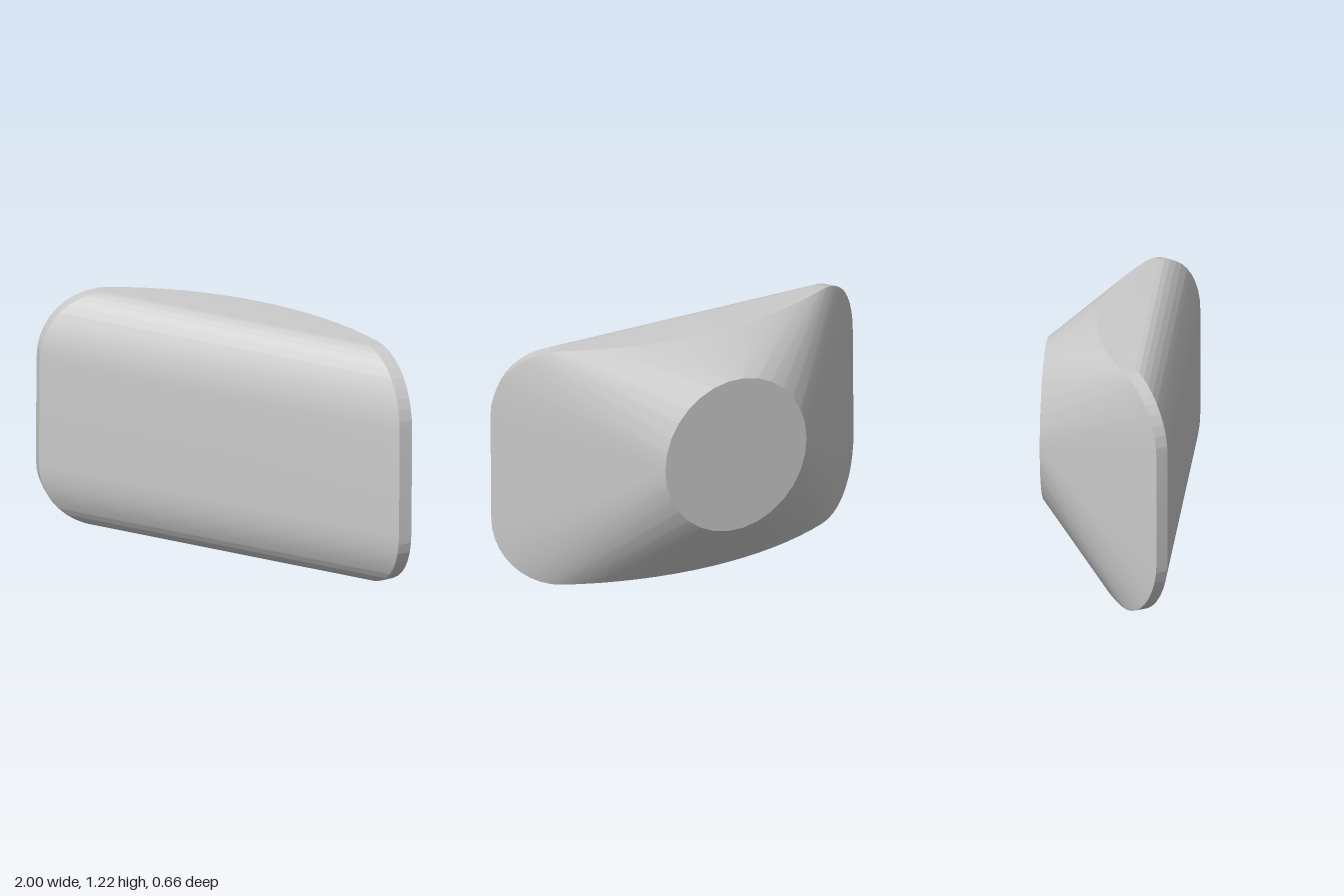
import * as THREE from 'three';
import { ConvexGeometry } from 'three/addons/geometries/ConvexGeometry.js';
import { toCreasedNormals } from 'three/addons/utils/BufferGeometryUtils.js';

const BEND = 1.57;        // radius of the bent plate's back face
const BEND_Z = 1.49;      // z of the bend axis
const THICK = 0.065;      // plate thickness
const HALF_W = 1.084;     // half width along the bend
const HALF_H = 0.607;
const CORNER = 0.34;
const MID_Y = 0.6125;
const TILT = -0.0075;     // slight roll of the plate

// Outline of a rounded rectangle, with extra points on the long edges
function plateOutline() {
  const pts = [];
  const cx = HALF_W - CORNER, cy = HALF_H - CORNER, n = 10;
  for (const [sx, sy] of [[1, 1], [-1, 1], [-1, -1], [1, -1]]) {
    for (let i = 0; i <= n; i++) {
      const a = (i / n) * Math.PI / 2;
      pts.push([sx * (cx + CORNER * Math.cos(a)), sy * (cy + CORNER * Math.sin(a))]);
    }
  }
  for (let i = 1; i < 16; i++) {
    const u = -cx + (2 * cx * i) / 16;
    pts.push([u, HALF_H], [u, -HALF_H]);
  }
  return pts;
}

// Wrap an outline point round the bend axis at the given radius
function bend([u, v], radius) {
  const a = u / BEND;
  const x = radius * Math.sin(a);
  return new THREE.Vector3(
    x * Math.cos(TILT) - v * Math.sin(TILT),
    MID_Y + x * Math.sin(TILT) + v * Math.cos(TILT),
    BEND_Z - radius * Math.cos(a)
  );
}

export function createModel() {
  const group = new THREE.Group();
  group.name = 'flaredBlock';
  const points = [];

  // Bent plate: back rim and front rim
  for (const p of plateOutline()) points.push(bend(p, BEND), bend(p, BEND - THICK));

  // Round mounting face at the back
  const sides = 30;
  for (let i = 0; i < sides; i++) {
    const a = (i / sides) * Math.PI * 2;
    points.push(new THREE.Vector3(0.39 * Math.cos(a), 0.68 + 0.39 * Math.sin(a), -0.33));
  }

  // Skin stretched over the plate and the mounting face
  const body = new THREE.Mesh(
    toCreasedNormals(new ConvexGeometry(points), 0.12),
    new THREE.MeshStandardMaterial({ color: 0xcccccc })
  );
  body.name = 'body';
  group.add(body);
  return group;
}
